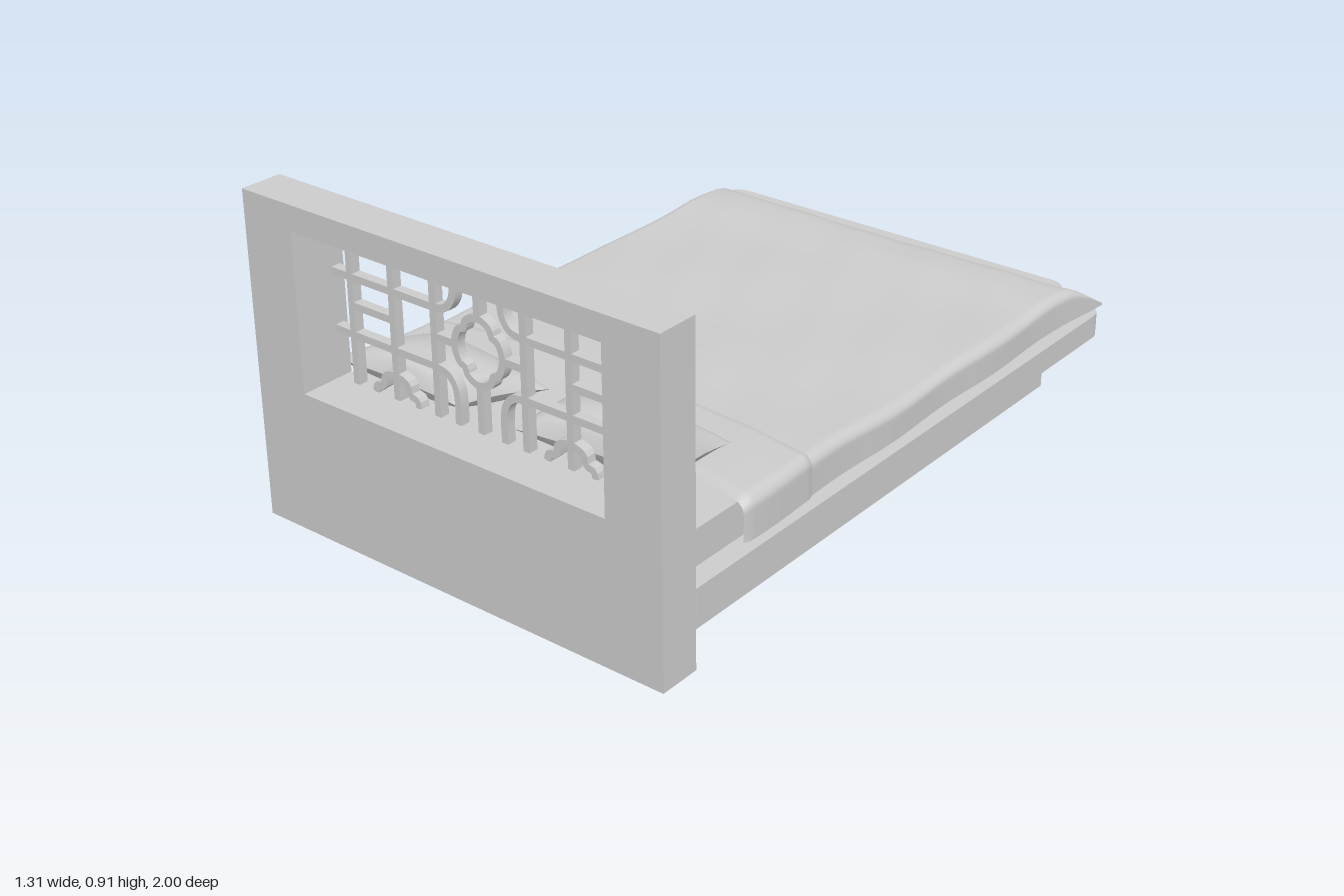
import * as THREE from 'three';

const grey = new THREE.MeshStandardMaterial({ color: 0xcccccc });
const cloth = new THREE.MeshStandardMaterial({ color: 0xcccccc, side: THREE.DoubleSide });

function add(parent, name, geometry, material = grey) {
  const mesh = new THREE.Mesh(geometry, material);
  mesh.name = name;
  parent.add(mesh);
  return mesh;
}

function box(parent, name, x0, x1, y0, y1, z0, z1) {
  const g = new THREE.BoxGeometry(x1 - x0, y1 - y0, z1 - z0);
  g.translate((x0 + x1) / 2, (y0 + y1) / 2, (z0 + z1) / 2);
  return add(parent, name, g);
}

// Horizontal slab with separate corner radii at foot and head
function slab(w, z0, z1, y0, y1, rFoot, rHead) {
  const s = new THREE.Shape();
  const head = -z1, foot = -z0;
  s.moveTo(-w + rHead, head);
  s.lineTo(w - rHead, head);
  s.quadraticCurveTo(w, head, w, head + rHead);
  s.lineTo(w, foot - rFoot);
  s.quadraticCurveTo(w, foot, w - rFoot, foot);
  s.lineTo(-w + rFoot, foot);
  s.quadraticCurveTo(-w, foot, -w, foot - rFoot);
  s.lineTo(-w, head + rHead);
  s.quadraticCurveTo(-w, head, -w + rHead, head);
  const g = new THREE.ExtrudeGeometry(s, { depth: y1 - y0, bevelEnabled: false, curveSegments: 6 });
  return g.rotateX(-Math.PI / 2).translate(0, y0, 0);
}

// Upright rectangular frame with a rectangular opening
function frame(w, y0, y1, hw, hy0, hy1, z0, z1) {
  const rect = (p, a, b, c) => p.moveTo(-a, b).lineTo(a, b).lineTo(a, c).lineTo(-a, c).closePath();
  const s = rect(new THREE.Shape(), w, y0, y1);
  s.holes.push(rect(new THREE.Path(), hw, hy0, hy1));
  return new THREE.ExtrudeGeometry(s, { depth: z1 - z0, bevelEnabled: false }).translate(0, 0, z0);
}

// Flat curved lattice strip following 2D points
const LZ0 = 0.853, LZ1 = 0.88, HALF = 0.01;
function strip(points, closed = false) {
  const curve = new THREE.CatmullRomCurve3(points.map(([x, y]) => new THREE.Vector3(x, y, 0)), closed);
  const n = closed ? 72 : 28, a = [], b = [];
  for (let i = 0; i < n + (closed ? 0 : 1); i++) {
    const p = curve.getPoint(i / n), t = curve.getTangent(i / n);
    a.push(new THREE.Vector2(p.x - t.y * HALF, p.y + t.x * HALF));
    b.push(new THREE.Vector2(p.x + t.y * HALF, p.y - t.x * HALF));
  }
  let s;
  if (closed) {
    s = new THREE.Shape(b);
    s.holes.push(new THREE.Path(a));
  } else s = new THREE.Shape([...a, ...b.reverse()]);
  return new THREE.ExtrudeGeometry(s, { depth: LZ1 - LZ0, bevelEnabled: false }).translate(0, 0, LZ0);
}

// Smooth surface over a rows x cols grid
function grid(rows, cols, fn) {
  const pos = [], idx = [];
  for (let i = 0; i <= rows; i++) for (let j = 0; j <= cols; j++) {
    pos.push(...fn(i / rows, j / cols));
    if (i < rows && j < cols) {
      const a = i * (cols + 1) + j, b = a + cols + 1;
      idx.push(a, b, a + 1, a + 1, b, b + 1);
    }
  }
  const g = new THREE.BufferGeometry();
  g.setAttribute('position', new THREE.Float32BufferAttribute(pos, 3));
  g.setIndex(idx);
  g.computeVertexNormals();
  return g;
}

// Blanket cross-section: skirt up, rounded shoulder, flat top
function section(u) {
  const s = Math.abs(u * 2 - 1), side = Math.sign(u * 2 - 1);
  if (s > 0.85) return [side, (0.72 * (1 - s)) / 0.15];
  if (s > 0.65) {
    const a = ((0.85 - s) / 0.2) * Math.PI / 2;
    return [side * (1 - 0.055 * (1 - Math.cos(a))), 0.72 + 0.28 * Math.sin(a)];
  }
  return [side * 0.945 * (s / 0.65), 1];
}

function drape(u, z, lift, zShift) {
  const [sx, sy] = section(u);
  const edge = Math.pow(Math.abs(sx), 14);
  const f = THREE.MathUtils.clamp((z + 0.95) / 0.12, 0, 1);
  const fall = Math.sin(f * Math.PI / 2);
  const nearHead = THREE.MathUtils.smoothstep(z, -0.2, 0.6);
  const h = 0.092 + 0.014 * nearHead + 0.008 * Math.exp(-Math.pow((z + 0.74) / 0.1, 2));
  const ripple = 0.002 * Math.sin(9 * z + 5 * sx) + 0.0015 * Math.sin(17 * sx - 11 * z);
  const w = 0.633 + lift * 0.6 + 0.004 * Math.sin(z * 13 + sx) + 0.016 * (1 - f);
  return [
    sx * w,
    0.236 + sy * ((h + ripple) * (0.1 + 0.9 * fall) + lift),
    z + zShift(edge, sx) - 0.05 * edge * (1 - f),
  ];
}

// Soft cushion between four corners: foot -x, foot +x, head -x, head +x
function pillow(corners, top) {
  const lerp = THREE.MathUtils.lerp;
  const face = dir => grid(20, 24, (v, u) => {
    const a = u * 2 - 1, b = v * 2 - 1;
    const uu = 0.5 + 0.5 * a * (1 - 0.1 * (1 - b * b));
    const vv = 0.5 + 0.5 * b * (1 - 0.1 * (1 - a * a));
    const [p, q, r, s] = corners;
    const at = k => lerp(lerp(p[k], q[k], uu), lerp(r[k], s[k], uu), vv);
    const puff = Math.pow((1 - a * a) * (1 - b * b), 0.5);
    return [at(0), at(1) + dir * puff * (dir > 0 ? top : 0.06), at(2)];
  });
  return [face(1), face(-1)];
}

export function createModel() {
  const bed = new THREE.Group();
  bed.name = 'bed';

  // Base, platform, mattress
  box(bed, 'base', -0.55, 0.55, 0, 0.15, -0.86, 0.88);
  add(bed, 'platform', slab(0.655, -1, 0.88, 0.15, 0.22, 0.05, 0.001));
  add(bed, 'mattress', slab(0.595, -0.9, 0.88, 0.22, 0.32, 0.06, 0.06));

  // Headboard with raised trim round the opening
  add(bed, 'headboard', frame(0.655, 0, 0.91, 0.49, 0.4, 0.84, 0.88, 1));
  add(bed, 'headboardTrim', frame(0.51, 0.37, 0.86, 0.49, 0.4, 0.84, 0.848, 0.88));
  add(bed, 'headboardTrimLip', frame(0.502, 0.385, 0.852, 0.49, 0.4, 0.84, 0.84, 0.848));

  // Lattice
  const lattice = new THREE.Group();
  lattice.name = 'lattice';
  bed.add(lattice);
  const rod = (x0, x1, y0, y1) => box(lattice, 'latticeBar', x0, x1, y0, y1, LZ0, LZ1);
  const MID = 0.618;
  for (const m of [-1, 1]) {
    for (const x of [0.145, 0.285, 0.428]) rod(m * x - HALF, m * x + HALF, 0.4, 0.84);
    const across = (a, b, y) => rod(Math.min(m * a, m * b), Math.max(m * a, m * b), y - HALF, y + HALF);
    across(0.145, 0.49, 0.695);
    across(0.145, 0.49, 0.537);
    across(0.285, 0.428, MID);
    across(0.08, 0.145, MID);
    for (const up of [-1, 1]) {
      const end = up > 0 ? 0.84 : 0.4;
      const bend = up > 0 ? 0.695 : 0.537;
      // Hooked strips beside the centre bar
      add(lattice, 'latticeHook', strip([
        [m * 0.076, end], [m * 0.076, bend + up * 0.07], [m * 0.083, bend + up * 0.035],
        [m * 0.105, bend + up * 0.009], [m * 0.145, bend],
      ]));
      // Scalloped half rosettes at top and bottom
      const lobes = [[-0.075, 0], [-0.069, 0.02], [-0.046, 0.027], [-0.04, 0.052], [-0.02, 0.063], [0, 0.065],
        [0.02, 0.063], [0.04, 0.052], [0.046, 0.027], [0.069, 0.02], [0.075, 0]];
      add(lattice, 'latticeScallop', strip(lobes.map(([x, y]) => [m * 0.285 + x, end - up * y])));
    }
  }
  rod(-HALF, HALF, 0.7, 0.84);
  rod(-HALF, HALF, 0.4, 0.535);
  const ring = [];
  for (let i = 0; i < 32; i++) {
    const t = (i / 32) * Math.PI * 2;
    const r = 0.064 + 0.013 * Math.sqrt(Math.abs(Math.cos(2 * t)));
    ring.push([r * Math.cos(t), MID + 1.15 * r * Math.sin(t)]);
  }
  add(lattice, 'latticeRing', strip(ring, true));

  // Blanket, with drooping foot corners and a bowed head edge
  add(bed, 'blanket', grid(70, 80, (v, u) => {
    const z = -0.95 + 1.56 * v;
    const head = THREE.MathUtils.smoothstep(z, 0.3, 0.61);
    return drape(u, z, 0, (e, sx) => head * 0.055 * sx * sx);
  }), cloth);

  // Turned-back band, closed down at both edges
  add(bed, 'blanketFold', grid(16, 80, (v, u) => {
    const z = 0.335 + 0.28 * v;
    const lift = v === 0 || v === 1 ? 0 : 0.012;
    return drape(u, z, lift, (e, sx) => 0.06 * sx * sx);
  }), cloth);

  // Pillows
  const sets = {
    pillowLeft: [[[-0.515, 0.37, 0.51], [-0.065, 0.37, 0.56], [-0.55, 0.42, 0.84], [-0.115, 0.42, 0.84]], 0.075],
    pillowRight: [[[0, 0.37, 0.57], [0.465, 0.37, 0.5], [0.065, 0.42, 0.84], [0.53, 0.42, 0.81]], 0.092],
  };
  for (const [name, [corners, top]] of Object.entries(sets)) {
    const g = new THREE.Group();
    g.name = name;
    pillow(corners, top).forEach((geo, i) => add(g, i ? 'pillowUnderside' : 'pillowTop', geo, cloth));
    bed.add(g);
  }
  return bed;
}
